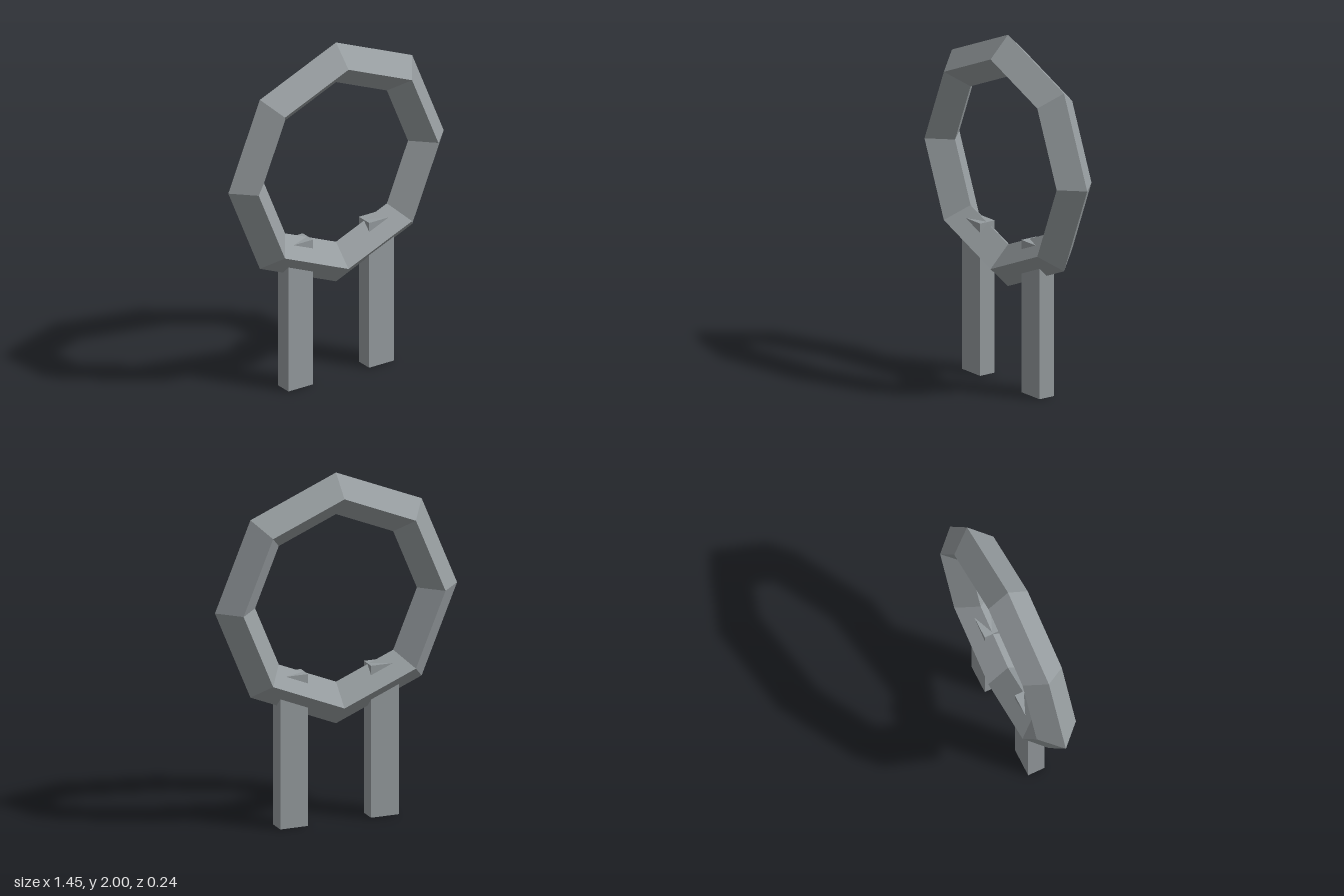
import * as THREE from 'three';

export function createModel() {
  const group = new THREE.Group();
  const material = new THREE.MeshStandardMaterial({ color: 0x969c9f, flatShading: true });

  // Eight-sided ring with a diamond cross-section
  const ring = new THREE.Mesh(new THREE.TorusGeometry(0.603, 0.12, 4, 8), material);
  ring.name = 'ring';
  ring.position.y = 1.277;
  group.add(ring);

  // Two posts whose tops poke through the lower ring segments
  const legHeight = 0.876;
  const legGeometry = new THREE.BoxGeometry(0.166, legHeight, 0.1);
  for (const side of [1, -1]) {
    const leg = new THREE.Mesh(legGeometry, material);
    leg.name = side > 0 ? 'leftLeg' : 'rightLeg';
    leg.position.set(side * 0.271, legHeight / 2, 0);
    group.add(leg);
  }
  return group;
}
